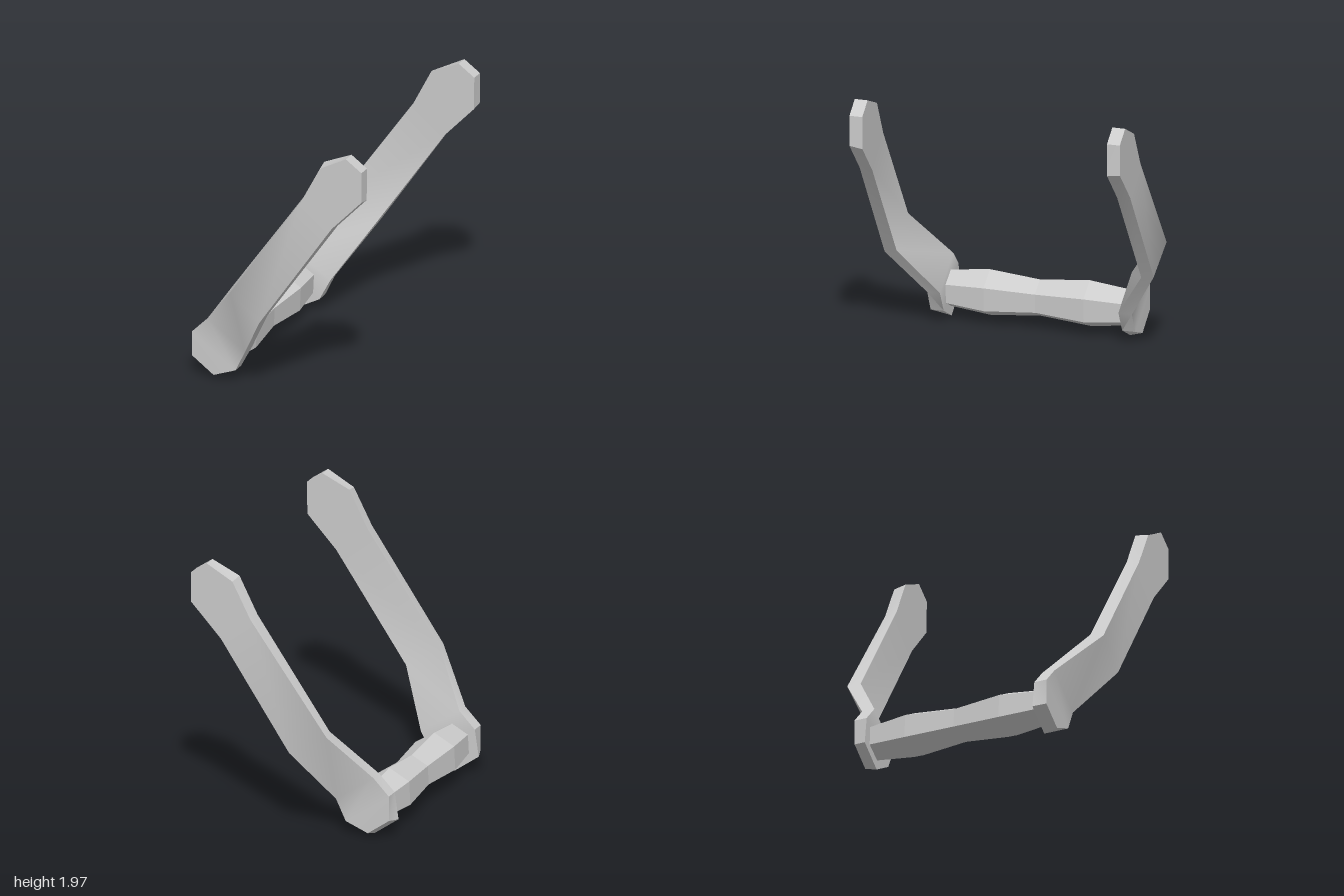
import * as THREE from 'three';
import { toCreasedNormals } from 'three/addons/utils/BufferGeometryUtils.js';

// Closed skin over a row of equal-sized rings of [x, y, z] points
function loft(rings, flip = false) {
  const n = rings[0].length;
  const index = [];
  const tri = (a, b, c) => (flip ? index.push(a, c, b) : index.push(a, b, c));
  for (let i = 0; i < rings.length - 1; i++) {
    for (let k = 0; k < n; k++) {
      const a = i * n + k, d = i * n + ((k + 1) % n);
      tri(a, a + n, d + n);
      tri(a, d + n, d);
    }
  }
  const last = (rings.length - 1) * n;
  for (let k = 1; k < n - 1; k++) {
    tri(0, k, k + 1);
    tri(last, last + k + 1, last + k);
  }
  const geometry = new THREE.BufferGeometry();
  geometry.setAttribute('position', new THREE.Float32BufferAttribute(rings.flat(2), 3));
  geometry.setIndex(index);
  return geometry;
}

// Arm stations from tip to foot:
// outer z, inner z, then outer upper, outer lower, inner lower, inner upper edge points
function armStations(bendUpper, bendLower) {
  return [
    [1, 0.905, [0.60, 1.97], [0.72, 1.885], [0.72, 1.885], [0.60, 1.97]],
    [1, 0.905, [0.40, 1.865], [0.72, 1.66], [0.717, 1.645], [0.39, 1.88]],
    [1, 0.905, [0.26, 1.60], [0.49, 1.42], [0.493, 1.41], [0.25, 1.61]],
    [1, 0.905, bendUpper, bendLower, [-0.05, 0.63], [-0.31, 0.82]],
    [0.757, 0.66, [-0.58, 0.46], [-0.29, 0.255], [-0.28, 0.26], [-0.58, 0.46]],
    [0.757, 0.66, [-0.70, 0.34], [-0.365, 0.10], [-0.365, 0.10], [-0.70, 0.34]],
    [0.755, 0.66, [-0.70, 0.155], [-0.535, 0.035], [-0.545, 0.005], [-0.73, 0.14]],
  ];
}

function armGeometry(side, bendUpper, bendLower) {
  const rings = armStations(bendUpper, bendLower).map(([zo, zi, ...points]) =>
    points.map(([x, y], k) => [x, y, side * (k < 2 ? zo : zi)]));
  return toCreasedNormals(loft(rings, side < 0), 0.62);
}

// Six-sided grip with two swellings
function handleGeometry() {
  const sections = [[0.665, 0.138], [0.37, 0.174], [0, 0.138], [-0.37, 0.174], [-0.665, 0.138]];
  return loft(sections.map(([z, r]) => Array.from({ length: 6 }, (_, k) => {
    const t = THREE.MathUtils.degToRad(27 + 60 * k);
    return [-0.53 + r * Math.cos(t), 0.217 + r * Math.sin(t), z];
  }))).toNonIndexed();
}

export function createModel() {
  const group = new THREE.Group();
  group.name = 'handleWithArms';
  const add = (name, geometry, flatShading) => {
    if (flatShading) geometry.computeVertexNormals();
    const material = new THREE.MeshStandardMaterial({ color: 0xcccccc, flatShading });
    const mesh = new THREE.Mesh(geometry, material);
    mesh.name = name;
    group.add(mesh);
  };
  add('frontArm', armGeometry(1, [-0.295, 0.80], [-0.07, 0.605]), false);
  add('backArm', armGeometry(-1, [-0.33, 0.81], [-0.04, 0.645]), false);
  add('handle', handleGeometry(), true);
  return group;
}
